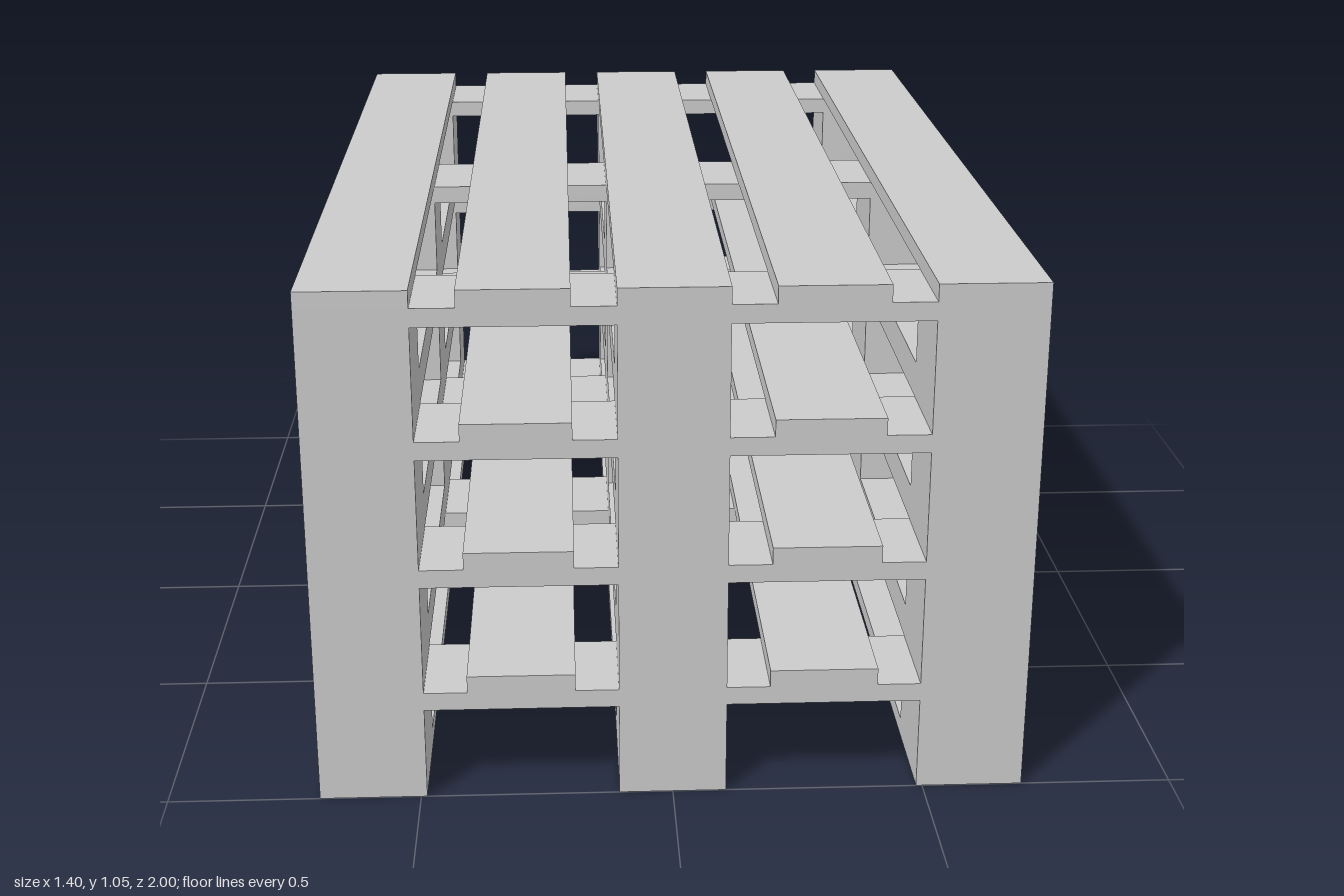
import * as THREE from 'three';

const WIDTH = 1.4, LENGTH = 2, BOARD = 0.212;
const LEVELS = 4, PALLET_H = 0.2625;
// layer heights inside one pallet
const RUNNER_TOP = 0.036, BLOCK_TOP = 0.191, CROSS_TOP = 0.228;

const material = new THREE.MeshStandardMaterial({ color: 0xcccccc, flatShading: true });

function addBox(parent, name, w, d, x, z, y0, y1) {
  const mesh = new THREE.Mesh(new THREE.BoxGeometry(w, y1 - y0, d), material);
  mesh.name = name;
  mesh.position.set(x, (y0 + y1) / 2, z);
  parent.add(mesh);
}

function createPallet() {
  const pallet = new THREE.Group();
  const edgeX = (WIDTH - BOARD) / 2;
  const edgeZ = (LENGTH - BOARD) / 2;

  for (const i of [-1, 0, 1]) {
    // bottom runners, lengthwise
    addBox(pallet, 'bottomRunner', BOARD, LENGTH, i * edgeX, 0, 0, RUNNER_TOP);
    // spacer blocks, three per runner
    for (const j of [-1, 0, 1]) {
      addBox(pallet, 'spacerBlock', BOARD, BOARD, i * edgeX, j * edgeZ, RUNNER_TOP, BLOCK_TOP);
    }
    // cross boards over the blocks
    addBox(pallet, 'crossBoard', WIDTH, BOARD, 0, i * edgeZ, BLOCK_TOP, CROSS_TOP);
  }

  // five deck boards on top
  for (let i = -2; i <= 2; i++) {
    addBox(pallet, 'deckBoard', BOARD, LENGTH, (i * edgeX) / 2, 0, CROSS_TOP, PALLET_H);
  }
  return pallet;
}

export function createModel() {
  const model = new THREE.Group();
  model.name = 'palletStack';
  for (let level = 0; level < LEVELS; level++) {
    const pallet = createPallet();
    pallet.name = `pallet${level + 1}`;
    pallet.position.y = level * PALLET_H;
    model.add(pallet);
  }
  return model;
}
